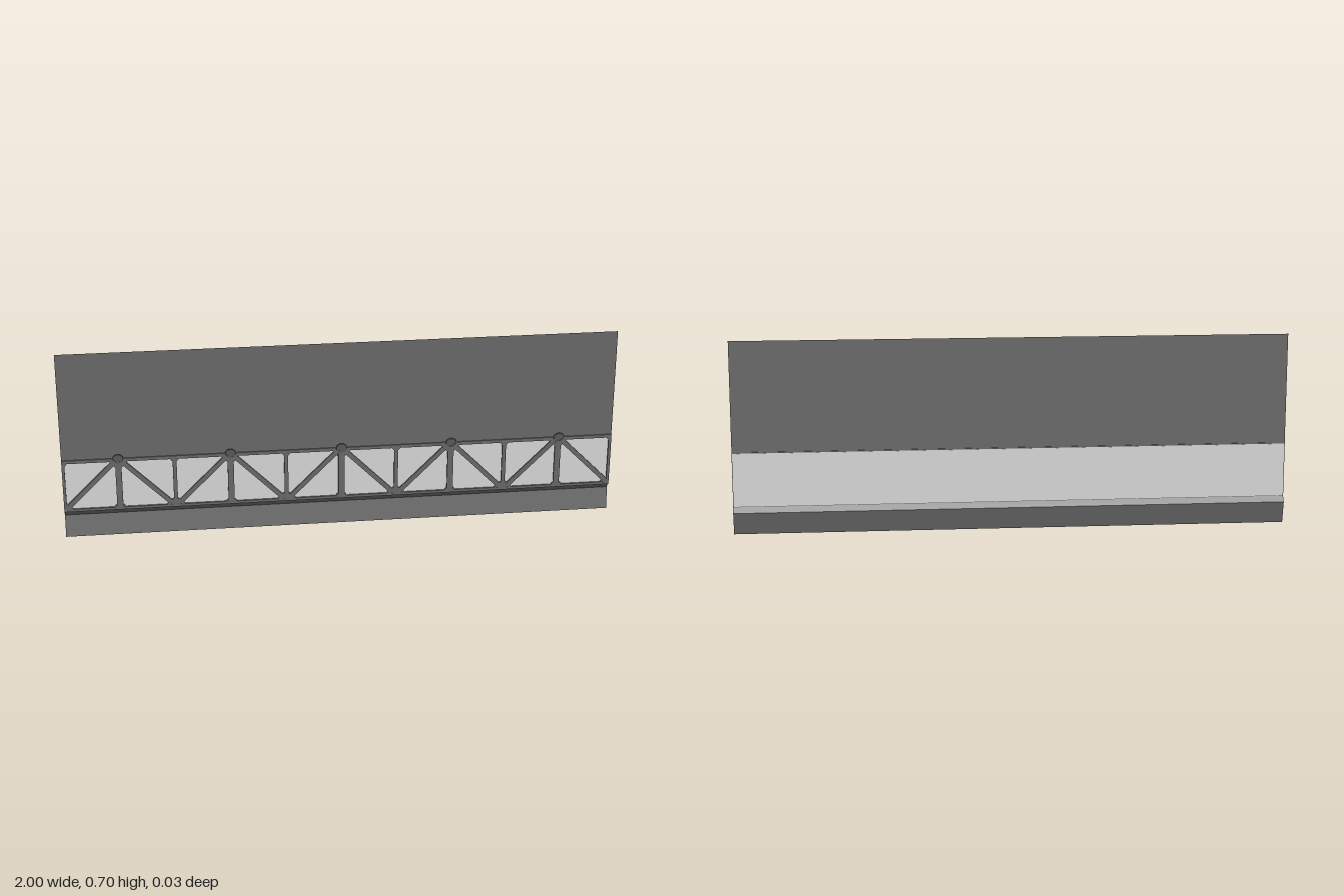
import * as THREE from 'three';

export function createModel() {
  const model = new THREE.Group();
  const steel = new THREE.MeshStandardMaterial({ color: 0x666666, side: THREE.DoubleSide });
  steel.name = 'darkSteel';
  const pale = new THREE.MeshStandardMaterial({ color: 0xd4d4d4, side: THREE.DoubleSide });
  pale.name = 'paleInfill';

  const add = (name, geometry, material, parent = model) => {
    const mesh = new THREE.Mesh(geometry, material);
    mesh.name = name;
    parent.add(mesh);
    return mesh;
  };

  // Sheet spanning the full length between two (y, z) edges
  const sheet = (name, [y0, z0], [y1, z1]) => {
    const g = new THREE.BufferGeometry();
    g.setAttribute('position', new THREE.Float32BufferAttribute(
      [-1, y0, z0, 1, y0, z0, 1, y1, z1, -1, y1, z1], 3));
    g.setIndex([0, 1, 2, 0, 2, 3]);
    g.computeVertexNormals();
    return add(name, g, steel);
  };
  sheet('upperSheet', [0.29, 0], [0.7, 0]);
  sheet('lowerLedge', [0.08, -0.015], [0.102, 0]);
  sheet('lowerSkirt', [0, 0], [0.08, -0.015]);

  // Pale infill behind the truss
  add('infillPanel', new THREE.BoxGeometry(1.996, 0.194, 0.001), pale).position.set(0, 0.199, -0.0025);

  // Truss frame
  const truss = new THREE.Group();
  truss.name = 'trussFrame';
  model.add(truss);
  const zMid = 0.0012, depth = 0.0066;
  const bar = (name, x0, y0, x1, y1, width, d = depth) => {
    const length = Math.hypot(x1 - x0, y1 - y0);
    const m = add(name, new THREE.BoxGeometry(length, width, d), steel, truss);
    m.position.set((x0 + x1) / 2, (y0 + y1) / 2, zMid);
    m.rotation.z = Math.atan2(y1 - y0, x1 - x0);
  };
  const gusset = (name, points) => {
    const shape = new THREE.Shape(points.map(([x, y]) => new THREE.Vector2(x, y)));
    const g = new THREE.ExtrudeGeometry(shape, { depth: depth - 0.001, bevelEnabled: false });
    g.translate(0, 0, zMid - depth / 2 + 0.0005);
    add(name, g, steel, truss);
  };
  bar('topChord', -1, 0.294, 1, 0.294, 0.012);
  bar('bottomChord', -1, 0.105, 1, 0.105, 0.01);
  for (const s of [-1, 1]) {
    bar('endPost', s * 0.995, 0.1, s * 0.995, 0.3, 0.01);
    gusset('endGusset', [[s, 0.105], [s * 0.965, 0.105], [s * 0.975, 0.122], [s, 0.13]]);
    gusset('endCorner', [[s, 0.295], [s * 0.98, 0.295], [s * 0.984, 0.284], [s * 0.99, 0.278], [s, 0.278]]);
  }

  // Thin posts with gussets where the diagonals meet
  for (const x of [-0.6, -0.2, 0.2, 0.6]) {
    bar('thinPost', x, 0.1, x, 0.3, 0.014);
    gusset('bottomGusset', [[x - 0.036, 0.105], [x + 0.036, 0.105], [x + 0.024, 0.124],
      [x + 0.008, 0.132], [x - 0.008, 0.132], [x - 0.024, 0.124]]);
    gusset('topCorner', [[x - 0.016, 0.295], [x - 0.016, 0.288], [x - 0.007, 0.278],
      [x + 0.007, 0.278], [x + 0.016, 0.288], [x + 0.016, 0.295]]);
  }

  // Main posts, each with a pair of diagonals and a tilted round lamp
  for (const x of [-0.8, -0.4, 0, 0.4, 0.8]) {
    bar('mainPost', x, 0.1, x, 0.3, 0.022, depth + 0.0004);
    for (const s of [-1, 1]) bar('diagonal', x + s * 0.006, 0.294, x + s * 0.192, 0.11, 0.017, depth - 0.0006);
    gusset('footGusset', [[x - 0.02, 0.105], [x + 0.02, 0.105], [x + 0.016, 0.117], [x - 0.016, 0.117]]);
    gusset('headGusset', [[x - 0.032, 0.295], [x - 0.03, 0.284], [x - 0.011, 0.264],
      [x + 0.011, 0.264], [x + 0.03, 0.284], [x + 0.032, 0.295]]);

    const lamp = new THREE.Group();
    lamp.name = 'lamp';
    lamp.position.set(x, 0.301, 0.0088);
    lamp.rotation.x = 0.27;
    model.add(lamp);
    add('lampDisc', new THREE.CylinderGeometry(0.0165, 0.0165, 0.003, 24).rotateX(Math.PI / 2), steel, lamp);
    const rim = new THREE.Shape().absarc(0, 0, 0.019, 0, Math.PI * 2);
    rim.holes.push(new THREE.Path().absarc(0, 0, 0.0135, 0, Math.PI * 2, true));
    const rimGeometry = new THREE.ExtrudeGeometry(rim, { depth: 0.005, bevelEnabled: false, curveSegments: 24 });
    add('lampRim', rimGeometry.translate(0, 0, -0.0025), steel, lamp);
  }
  return model;
}
